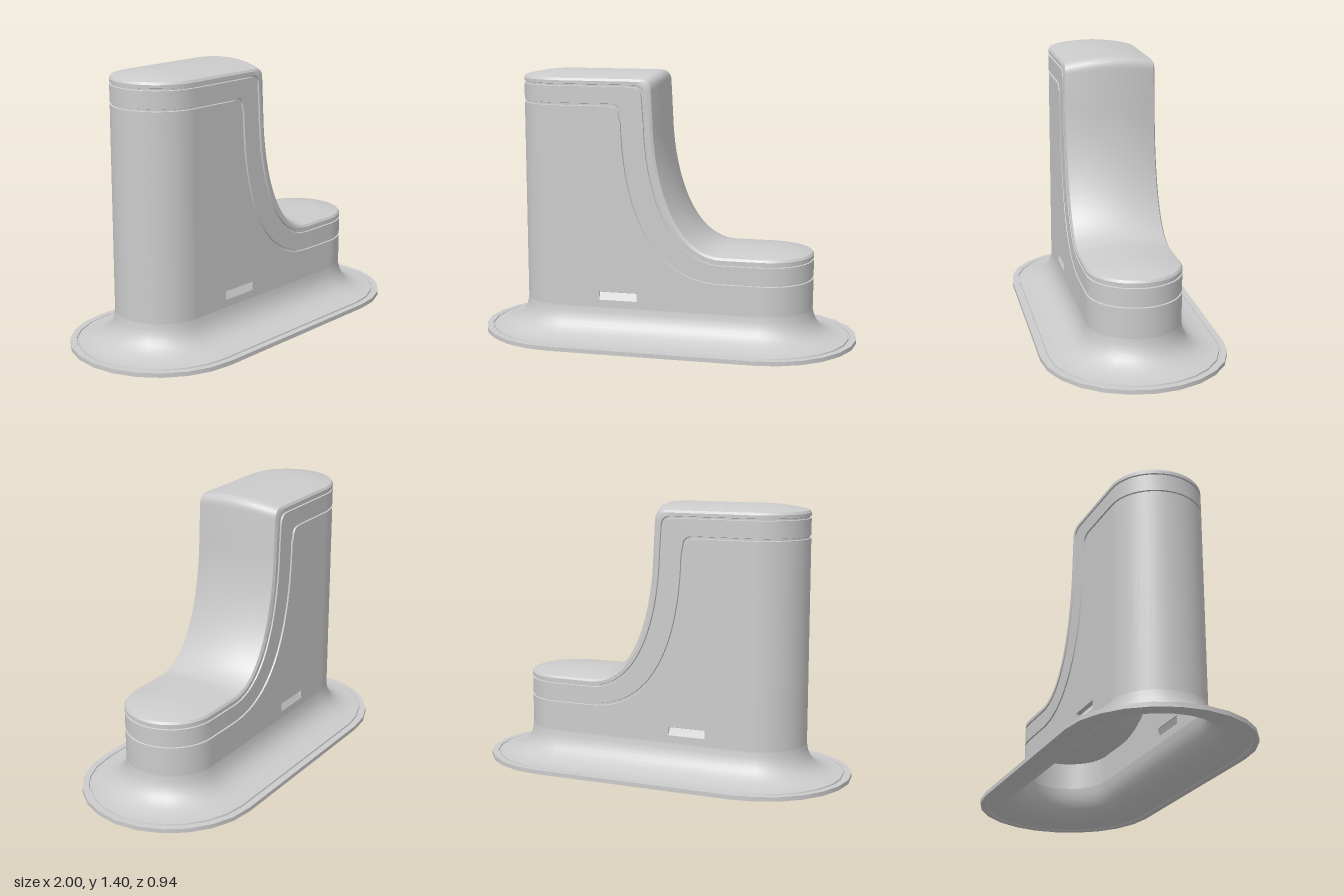
import * as THREE from 'three';
import { toCreasedNormals } from 'three/addons/utils/BufferGeometryUtils.js';

const CX = 0.53; // centre of the rounded ends
const R = 0.24; // half width of the body
const WALL = 0.02;
const mat = new THREE.MeshStandardMaterial({ color: 0xcccccc });
const matBoth = new THREE.MeshStandardMaterial({ color: 0xcccccc, side: THREE.DoubleSide });

// Smooth surface through rows of points, facing out when columns run right and rows run down
function grid(rows) {
  const n = rows[0].length;
  const geo = new THREE.BufferGeometry().setFromPoints(rows.flat());
  const index = [];
  for (let i = 0; i < rows.length - 1; i++) {
    for (let j = 0; j < n - 1; j++) {
      const a = i * n + j, c = a + n;
      index.push(a, c, c + 1, a, c + 1, a + 1);
    }
  }
  geo.setIndex(index);
  return toCreasedNormals(geo, 0.5);
}

// Stepped side outline, moved inward by d: high deck, round corner, sweep, low deck
function profile(d) {
  const v = (x, y) => new THREE.Vector2(x, y);
  const top = 1.37 - d, low = 0.475 - d, vx = -0.04 - 1.2 * d;
  const pts = [];
  for (let k = 0; k <= 12; k++) pts.push(v(-CX - R * Math.cos(k / 12 * Math.PI / 2), top));
  const corner = new THREE.QuadraticBezierCurve(v(vx - 0.055, top), v(vx, top), v(vx + 0.001, top - 0.055));
  const sweep = new THREE.CubicBezierCurve(
    v(vx + 0.01, 1.15), v(vx + 0.02, 0.8 - 0.8 * d), v(0.1 - d, low), v(0.33, low));
  pts.push(...corner.getPoints(8), ...sweep.getPoints(24));
  for (let k = 0; k <= 12; k++) pts.push(v(CX + R * Math.sin(k / 12 * Math.PI / 2), low));
  return pts;
}

// Position along a rounded end, 0 on the straight part to 1 at the tip
const endPos = (x) => Math.min(1, Math.max(0, (Math.abs(x) - CX) / R));

// Place an outline point on a stadium of radius r; s = -1..1 runs from back to front
function place(p, r, s) {
  const e = endPos(p.x);
  const x = e > 0 ? Math.sign(p.x) * (CX + e * r) : p.x;
  return new THREE.Vector3(x, p.y, s * r * Math.sqrt(1 - e * e));
}

// Band around the body, from [inset, radius] pairs
function band(steps) {
  return grid(steps.map(([d, r]) => {
    const pts = profile(d);
    return [...pts.map((p) => place(p, r, 1)), ...pts.reverse().map((p) => place(p, r, -1))];
  }));
}

// Deck surface across the body, crowned by the given height
function deck(d0, r, crown) {
  const rows = [];
  const base = profile(d0);
  for (let k = 0; k <= 20; k++) {
    const s = k / 10 - 1;
    rows.push(base.map((b, j) => {
      const e = endPos(b.x);
      const rho2 = e * e + s * s * (1 - e * e);
      return place(profile(d0 - crown * (1 - rho2))[j], r, s);
    }));
  }
  return grid(rows);
}

// Stadium swept through [radius, height] pairs
function stadium(steps) {
  return grid(steps.map(([r, y]) => {
    const row = [];
    for (const side of [1, -1]) {
      for (let k = 0; k <= 12; k++) {
        const a = side * Math.PI / 2 - k / 12 * Math.PI;
        row.push(new THREE.Vector3(side * CX + r * Math.cos(a), y, r * Math.sin(a)));
      }
    }
    row.push(row[0].clone());
    return row;
  }));
}

export function createModel() {
  const model = new THREE.Group();
  const add = (name, geo, material = mat) => {
    const mesh = new THREE.Mesh(geo, material);
    mesh.name = name;
    model.add(mesh);
    return mesh;
  };
  const IN = R - 0.008;

  // Crowned cap and the two trim bands separated by grooves
  add('capTop', deck(0, IN, 0.03));
  add('capEdge', band([[0, IN], [0.012, R], [0.028, R], [0.03, IN]]));
  add('upperGroove', band([[0.03, IN], [0.038, IN]]));
  add('trimBand', band([[0.038, IN], [0.04, R], [0.125, R], [0.127, IN]]));
  add('lowerGroove', band([[0.127, IN], [0.137, IN], [0.139, R]]));
  add('innerCeiling', deck(0.15, R - WALL, 0), matBoth);

  // Flat side walls, each with a slot closed by a slanted louvre
  const base = 0.18;
  const edge = profile(0.139).filter((p) => Math.abs(p.x) <= CX + 1e-6);
  const wall = new THREE.Shape([
    new THREE.Vector2(-CX, base), new THREE.Vector2(CX, base), ...edge.reverse()]);
  wall.holes.push(new THREE.Path([[-0.315, 0.22], [-0.315, 0.265], [-0.115, 0.265], [-0.115, 0.22]]
    .map(([x, y]) => new THREE.Vector2(x, y))));
  const wallGeo = new THREE.ExtrudeGeometry(wall, { depth: WALL, bevelEnabled: false });
  for (const side of [1, -1]) {
    const name = side > 0 ? 'front' : 'back';
    add(name + 'Wall', wallGeo).position.z = side > 0 ? R - WALL : -R;
    const louvre = add(name + 'Louvre', new THREE.BoxGeometry(0.2, 0.045, 0.004));
    louvre.position.set(-0.215, 0.237, side * (R - 0.012));
    louvre.rotation.x = -side * 0.45;
  }

  // Rounded end walls, outside and inside
  for (const [name, side, top] of [['tallEnd', -1, 1.231], ['lowEnd', 1, 0.336]]) {
    for (const [part, r] of [['Outer', R], ['Inner', R - WALL]]) {
      const h = top - base;
      const geo = new THREE.CylinderGeometry(r, r, h, 24, 1, true, side > 0 ? 0 : Math.PI, Math.PI);
      add(name + part, geo, matBoth).position.set(side * CX, base + h / 2, 0);
    }
  }

  // Flared hollow foot with a flat rim
  const flare = (a, b, c) => new THREE.QuadraticBezierCurve(
    new THREE.Vector2(...a), new THREE.Vector2(...b), new THREE.Vector2(...c))
    .getPoints(10).map((p) => [p.x, p.y]);
  add('flaredFoot', stadium([
    ...flare([R, base], [0.25, 0.03], [0.428, 0.024]),
    [0.43, 0.016], [0.436, 0.016], [0.438, 0.022],
    [0.47, 0.022], [0.47, 0], [0.44, 0],
    ...flare([R - WALL, base], [0.235, 0.012], [0.435, 0.006]).reverse(),
  ]));
  return model;
}
